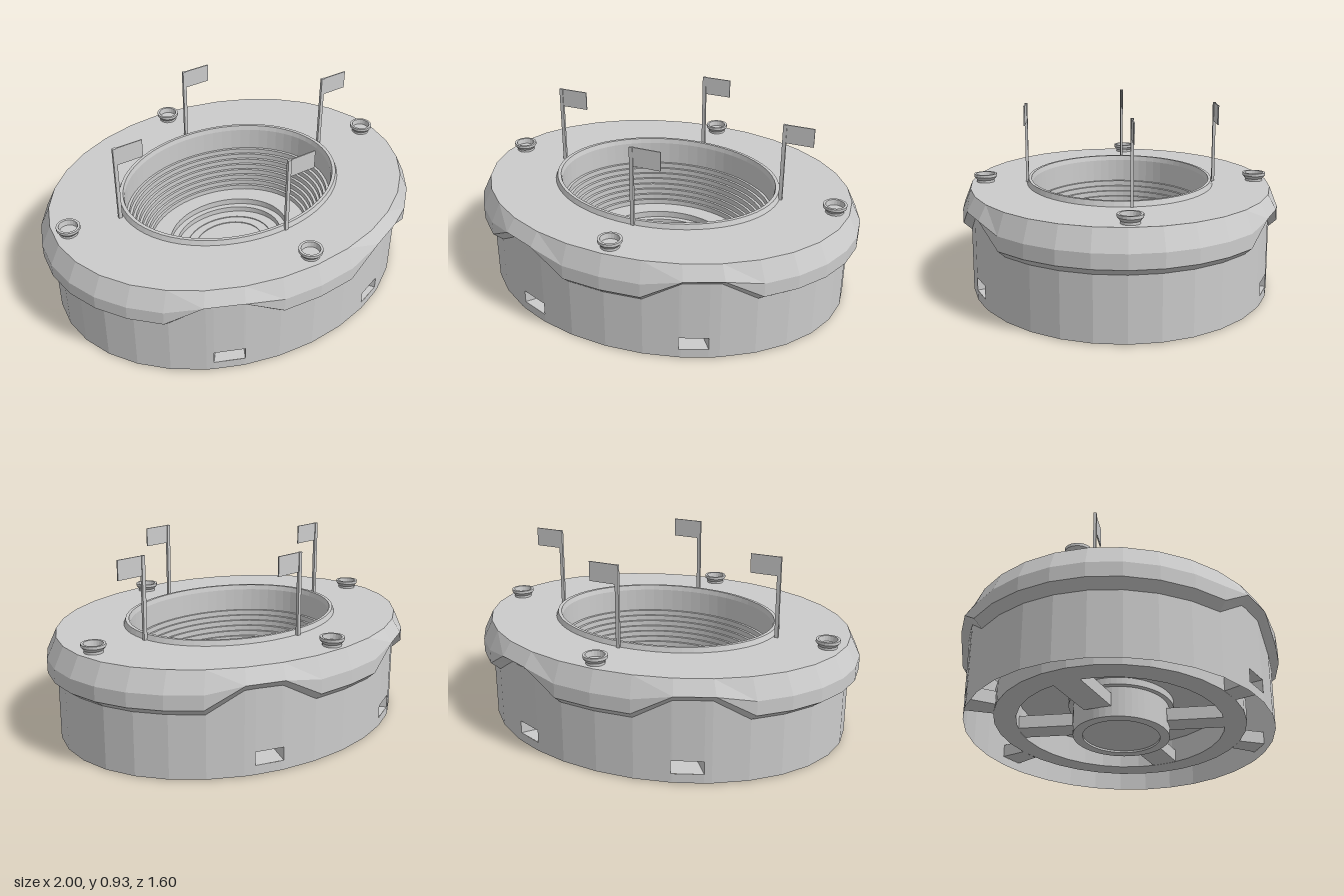
import * as THREE from 'three';

const mat = new THREE.MeshStandardMaterial({ color: 0xcccccc, flatShading: true, side: THREE.DoubleSide });
const RATIO = 0.8; // depth of every ellipse relative to its width
const rad = THREE.MathUtils.degToRad;

const onEllipse = (r, y, t) => [r * Math.cos(t), y, r * RATIO * Math.sin(t)];

function quadMesh(name, quads) {
  const pos = [];
  for (const [a, b, c, d] of quads) pos.push(...a, ...b, ...c, ...a, ...c, ...d);
  const geo = new THREE.BufferGeometry();
  geo.setAttribute('position', new THREE.Float32BufferAttribute(pos, 3));
  geo.computeVertexNormals();
  const mesh = new THREE.Mesh(geo, mat);
  mesh.name = name;
  return mesh;
}

// Sweeps a [radius, height] profile around the ellipse; height may depend on the segment
function sweep(name, profile, segments = 32) {
  const quads = [];
  const at = (j, i) => {
    const [r, y] = profile[j];
    return onEllipse(r, typeof y === 'function' ? y(i % segments) : y, (i / segments) * Math.PI * 2);
  };
  for (let j = 0; j < profile.length - 1; j++) {
    for (let i = 0; i < segments; i++) quads.push([at(j, i), at(j + 1, i), at(j + 1, i + 1), at(j, i + 1)]);
  }
  return quadMesh(name, quads);
}

// Four gate openings, as angle ranges in degrees
const GATE = { low: 0.05, high: 0.115 };
const gates = [[59.5, 68.3], [112, 121.5], [238.5, 248], [291.7, 300.5]];

function outerWall() {
  const angles = new Set(gates.flat());
  for (let i = 0; i <= 32; i++) angles.add(i * 11.25);
  const list = [...angles].sort((a, b) => a - b);
  const quads = [];
  for (let i = 0; i < list.length - 1; i++) {
    const [a, b] = [rad(list[i]), rad(list[i + 1])];
    const open = gates.some(([f, t]) => list[i] >= f && list[i + 1] <= t);
    const spans = open ? [[0.004, GATE.low], [GATE.high, 0.45]] : [[0.004, 0.45]];
    for (const [y0, y1] of spans) {
      quads.push([onEllipse(0.95, y0, a), onEllipse(0.95, y1, a), onEllipse(0.95, y1, b), onEllipse(0.95, y0, b)]);
    }
  }
  return quadMesh('outerWall', quads);
}

// Rectangular passage from a gate inward to the concourse
function gateTunnel([f, t]) {
  const section = (r) => [
    onEllipse(r, GATE.low, rad(f)), onEllipse(r, GATE.high, rad(f)),
    onEllipse(r, GATE.high, rad(t)), onEllipse(r, GATE.low, rad(t)),
  ];
  const [o, n] = [section(0.95), section(0.78)];
  return quadMesh('gateTunnel', [0, 1, 2, 3].map((k) => [o[k], n[k], n[(k + 1) % 4], o[(k + 1) % 4]]));
}

function flag(x, z) {
  const g = new THREE.Group();
  g.name = 'flag';
  const pole = new THREE.Mesh(new THREE.BoxGeometry(0.018, 0.405, 0.014), mat);
  pole.name = 'flagPole';
  pole.position.y = 0.7225;
  const cloth = new THREE.Mesh(new THREE.BoxGeometry(0.145, 0.095, 0.006), mat);
  cloth.name = 'flagCloth';
  cloth.position.set(0.0725, 0.8775, 0);
  g.add(pole, cloth);
  g.position.set(x, 0, z);
  return g;
}

function roofCup(x, z) {
  const profile = [[0, 0], [0.045, 0], [0.045, 0.012], [0.058, 0.028], [0.058, 0.042], [0.046, 0.042], [0.042, 0.015], [0, 0.015]];
  const cup = new THREE.Mesh(new THREE.LatheGeometry(profile.map((p) => new THREE.Vector2(...p)), 20), mat);
  cup.name = 'roofCup';
  cup.position.set(x, 0.52, z);
  return cup;
}

export function createModel() {
  const model = new THREE.Group();
  model.name = 'stadium';

  model.add(outerWall());
  gates.forEach((g) => model.add(gateTunnel(g)));

  // Roof with a lower edge that lifts over each gate
  const lift = (i) => ([5, 6, 10, 11].includes(i % 16) ? 0.1 : 0);
  model.add(sweep('roof', [
    [0.945, (i) => 0.31 + lift(i)],
    [1, (i) => 0.35 + lift(i)],
    [1, (i) => Math.max(0.42, 0.35 + lift(i))],
    [0.95, 0.52],
    [0.59, 0.52],
  ]));

  // Raised lip around the opening
  model.add(sweep('openingLip', [[0.595, 0.52], [0.585, 0.545], [0.567, 0.545], [0.56, 0.52], [0.56, 0.4]], 64));

  // Stepped seating tiers down to the level apron and the sunken centre
  const tiers = [[0.56, 0.4]];
  for (let k = 0; k < 8; k++) {
    const r = 0.56 - (k + 1) * 0.015;
    const y = 0.4 - k * 0.027;
    tiers.push([r, y], [r, y - 0.027]);
  }
  tiers.push([0.33, 0.184], [0.33, 0.15], [0.295, 0.15], [0.295, 0.12]);
  model.add(sweep('seatingTiers', tiers, 64));

  // Playing floor in the middle, closed underneath
  model.add(sweep('floor', [[0.3, 0.15], [0.3, 0], [0.24, 0], [0.24, 0.01], [0, 0.01]], 48));
  model.add(sweep('floorTop', [[0.3, 0.12], [0.24, 0.12], [0.24, 0.115], [0.19, 0.115], [0.19, 0.11], [0, 0.11]], 48));

  // Concourse ring under the stands
  model.add(sweep('concourse', [[0.78, 0.16], [0.78, 0.05], [0.645, 0.05], [0.645, 0.184], [0.44, 0.184]]));

  // Four passages joining the concourse to the floor, the side pair slightly skewed
  for (let k = 0; k < 4; k++) {
    const sideways = k % 2 === 0;
    const s = sideways ? 1 : RATIO;
    const a = (k * Math.PI) / 2 + (sideways ? rad(14) : 0);
    const spoke = new THREE.Mesh(new THREE.BoxGeometry(0.36 * s, 0.065, 0.14), mat);
    spoke.name = 'passage';
    spoke.rotation.y = -a;
    spoke.position.set(0.475 * s * Math.cos(a), 0.0835, 0.475 * s * Math.sin(a));
    model.add(spoke);
  }

  for (const [x, z] of [[-0.61, -0.034], [0.597, -0.034], [0.022, -0.482], [0.022, 0.474]]) model.add(flag(x, z));
  for (const [x, z] of [[0.025, -0.695], [0.008, 0.69], [-0.872, -0.058], [0.875, -0.013]]) model.add(roofCup(x, z));

  return model;
}
